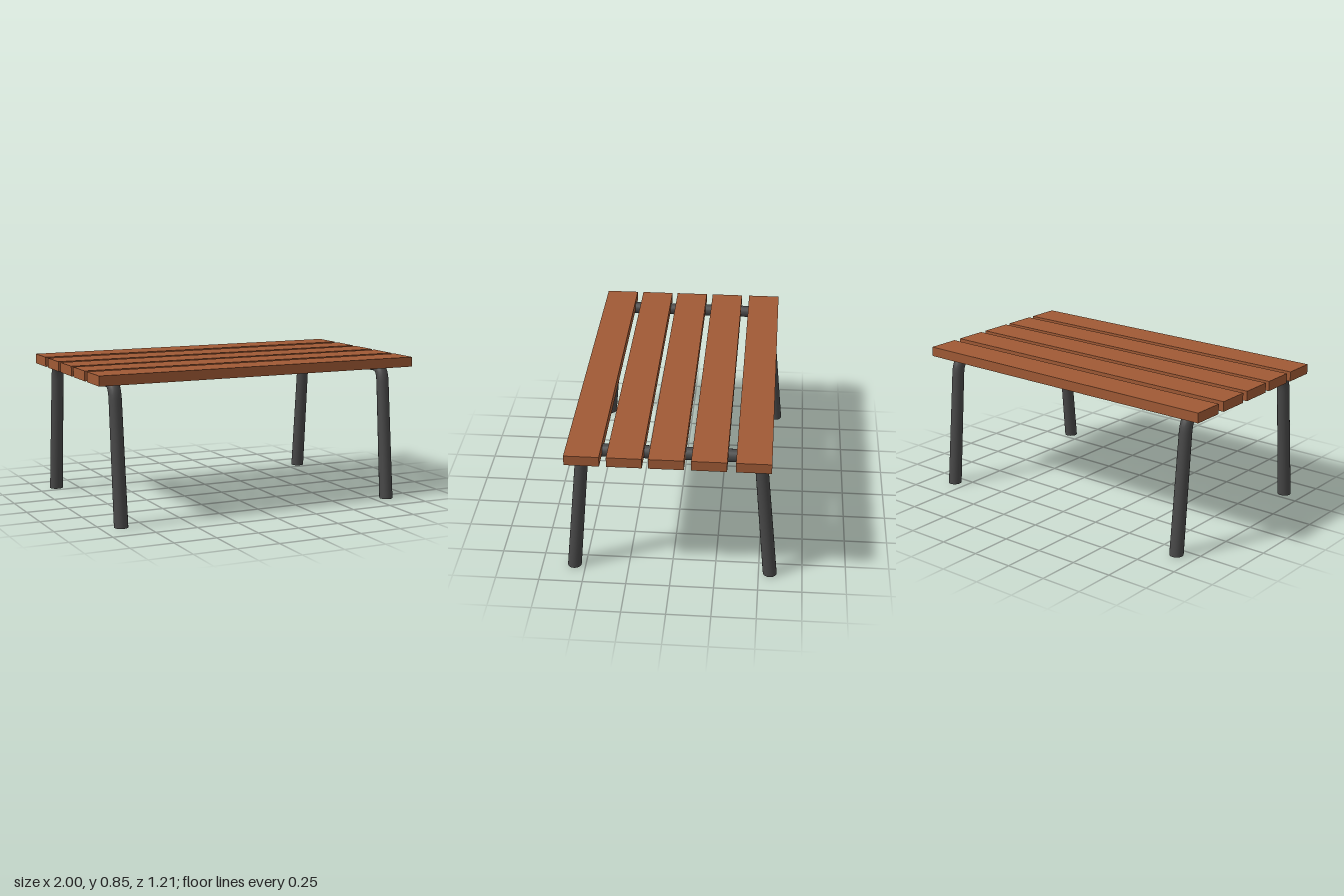
import * as THREE from 'three';

const wood = new THREE.MeshStandardMaterial({ color: 0xa05a35 });
wood.name = 'brown wood';
const metal = new THREE.MeshStandardMaterial({ color: 0x484848 });
metal.name = 'dark grey metal';

const TOP = 0.797; // height of the crossbar axis

// Bent tube in the YZ plane: leg, bend, crossbar, bend, leg
function framePath() {
  const v = (z, y) => new THREE.Vector3(0, y, z);
  const path = new THREE.CurvePath();
  path.add(new THREE.LineCurve3(v(0.565, 0), v(0.5, 0.7)));
  path.add(new THREE.CubicBezierCurve3(v(0.5, 0.7), v(0.494, 0.76), v(0.475, TOP), v(0.42, TOP)));
  path.add(new THREE.LineCurve3(v(0.42, TOP), v(-0.42, TOP)));
  path.add(new THREE.CubicBezierCurve3(v(-0.42, TOP), v(-0.475, TOP), v(-0.494, 0.76), v(-0.5, 0.7)));
  path.add(new THREE.LineCurve3(v(-0.5, 0.7), v(-0.565, 0)));
  return path;
}

// Tube that widens slightly towards the feet, which are cut level with the floor
function frameGeometry() {
  const path = framePath(), rings = 100, sides = 20;
  const geometry = new THREE.TubeGeometry(path, rings, 0.036, sides, false);
  const pos = geometry.attributes.position;
  const p = new THREE.Vector3();
  for (let i = 0; i <= rings; i++) {
    const centre = path.getPointAt(i / rings);
    const widen = 1 + 0.11 * (1 - centre.y / TOP);
    for (let j = 0; j <= sides; j++) {
      const k = i * (sides + 1) + j;
      p.fromBufferAttribute(pos, k).sub(centre).multiplyScalar(widen).add(centre);
      if (i === 0 || i === rings) p.y = 0;
      pos.setXYZ(k, p.x, p.y, p.z);
    }
  }
  return geometry;
}

export function createModel() {
  const model = new THREE.Group();
  model.name = 'slattedTable';

  // Five slats with slightly uneven gaps
  const slatGeometry = new THREE.BoxGeometry(2, 0.058, 0.193);
  [0.473, 0.242, 0.015, -0.217, -0.457].forEach((z, i) => {
    const slat = new THREE.Mesh(slatGeometry, wood);
    slat.name = `slat${i + 1}`;
    slat.position.set(0, 0.824, z);
    model.add(slat);
  });

  // Two bent tube frames with closed feet
  const tubeGeometry = frameGeometry();
  const footGeometry = new THREE.CircleGeometry(0.04, 20).rotateX(Math.PI / 2);
  for (const [name, x] of [['rightFrame', -0.882], ['leftFrame', 0.838]]) {
    const frame = new THREE.Group();
    frame.name = name;
    frame.position.x = x;
    const tube = new THREE.Mesh(tubeGeometry, metal);
    tube.name = 'bentTube';
    frame.add(tube);
    for (const side of [1, -1]) {
      const foot = new THREE.Mesh(footGeometry, metal);
      foot.name = side > 0 ? 'frontFoot' : 'backFoot';
      foot.position.z = side * 0.565;
      frame.add(foot);
    }
    model.add(frame);
  }
  return model;
}
